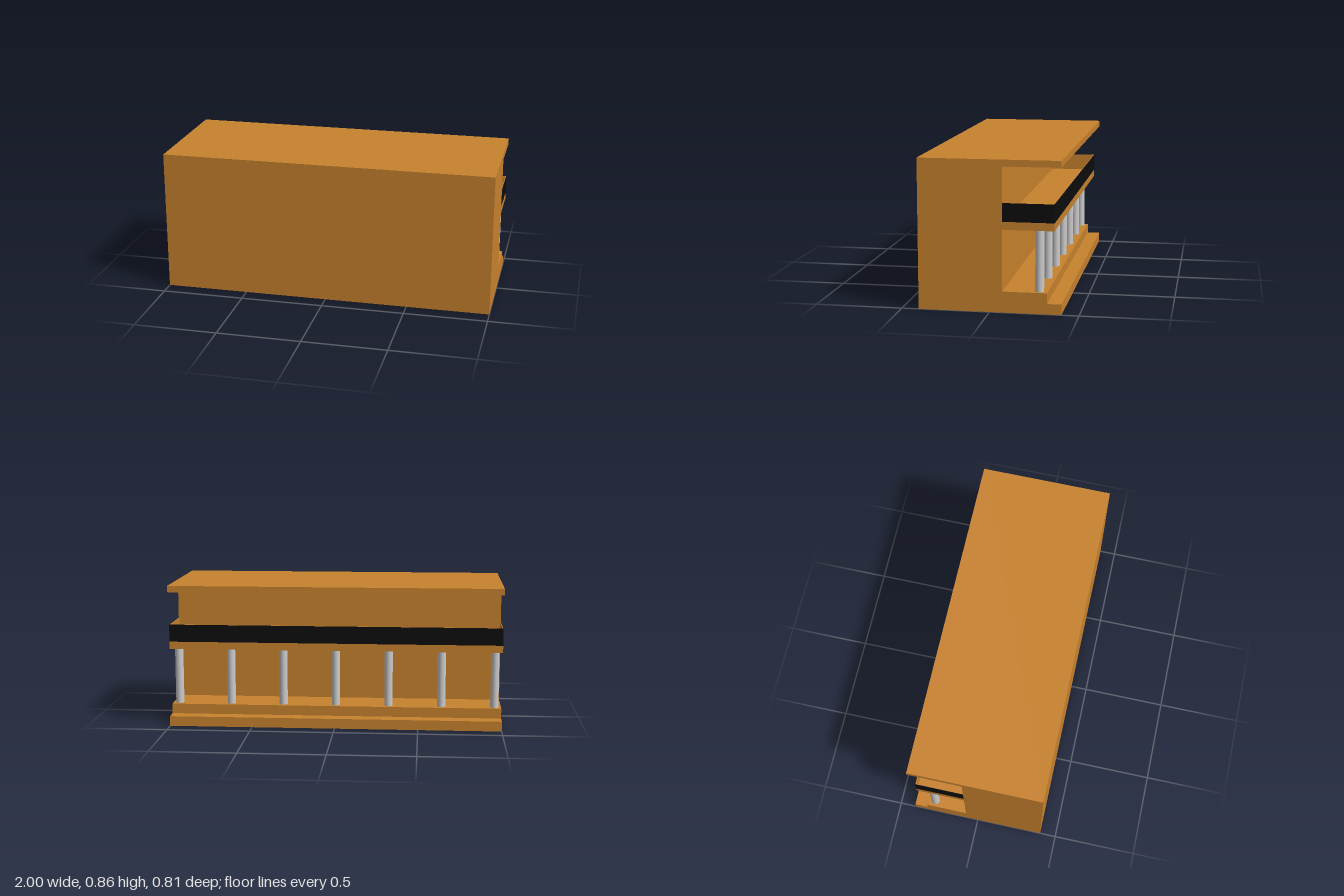
import * as THREE from 'three';

const orange = new THREE.MeshStandardMaterial({ color: 0xc8822d });
const black = new THREE.MeshStandardMaterial({ color: 0x0c0c0c });
const grey = new THREE.MeshStandardMaterial({ color: 0xcccccc });

const WIDTH = 2;
const WALL_Z = -0.073, BALCONY_Z = -0.363;
const FLOOR_Y = 0.512, RAIL_TOP = 0.616;

function add(parent, name, geometry, material, x = 0, y = 0, z = 0) {
  const mesh = new THREE.Mesh(geometry, material);
  mesh.name = name;
  mesh.position.set(x, y, z);
  parent.add(mesh);
  return mesh;
}

// Straight parapet: a dark outer skin over an orange inner lining.
function parapet(name, length) {
  const group = new THREE.Group();
  group.name = name;
  const skin = 0.002, lining = 0.004, h = RAIL_TOP - FLOOR_Y;
  add(group, 'outerPanel', new THREE.BoxGeometry(length, h, skin), black, 0, h / 2, -skin / 2);
  add(group, 'innerLining', new THREE.BoxGeometry(length - 2 * skin, h, lining), orange, 0, h / 2, -skin - lining / 2);
  return group;
}

export function createModel() {
  const model = new THREE.Group();
  model.name = 'balconyBuilding';

  // Side section (z, y): block, stepped base, balcony slab and roof overhang.
  const section = new THREE.Shape([
    [0.403, 0], [0.403, 0.855], [-0.397, 0.855], [-0.397, 0.817],
    [WALL_Z, 0.817], [WALL_Z, FLOOR_Y], [BALCONY_Z, FLOOR_Y], [BALCONY_Z, 0.468],
    [WALL_Z, 0.468], [WALL_Z, 0.12], [-0.322, 0.12], [-0.322, 0.06],
    [-0.403, 0.06], [-0.403, 0],
  ].map(([z, y]) => new THREE.Vector2(z, y)));
  const shell = new THREE.ExtrudeGeometry(section, { depth: WIDTH, bevelEnabled: false });
  shell.translate(0, 0, -WIDTH / 2).rotateY(-Math.PI / 2);
  add(model, 'buildingShell', shell, orange);

  // Balcony parapet along the back and both ends.
  const back = parapet('backParapet', WIDTH);
  back.rotation.y = Math.PI;
  back.position.set(0, FLOOR_Y, BALCONY_Z);
  model.add(back);
  for (const side of [-1, 1]) {
    const end = parapet(side > 0 ? 'leftParapet' : 'rightParapet', WALL_Z - BALCONY_Z);
    end.rotation.y = side * Math.PI / 2;
    end.position.set(side * WIDTH / 2, FLOOR_Y, (WALL_Z + BALCONY_Z) / 2);
    model.add(end);
  }

  // Row of columns carrying the balcony.
  const column = new THREE.CylinderGeometry(0.025, 0.025, 0.348, 32);
  for (let i = 0; i < 7; i++) {
    add(model, 'column', column, grey, -0.96 + i * 0.32, 0.294, -0.276);
  }
  return model;
}
